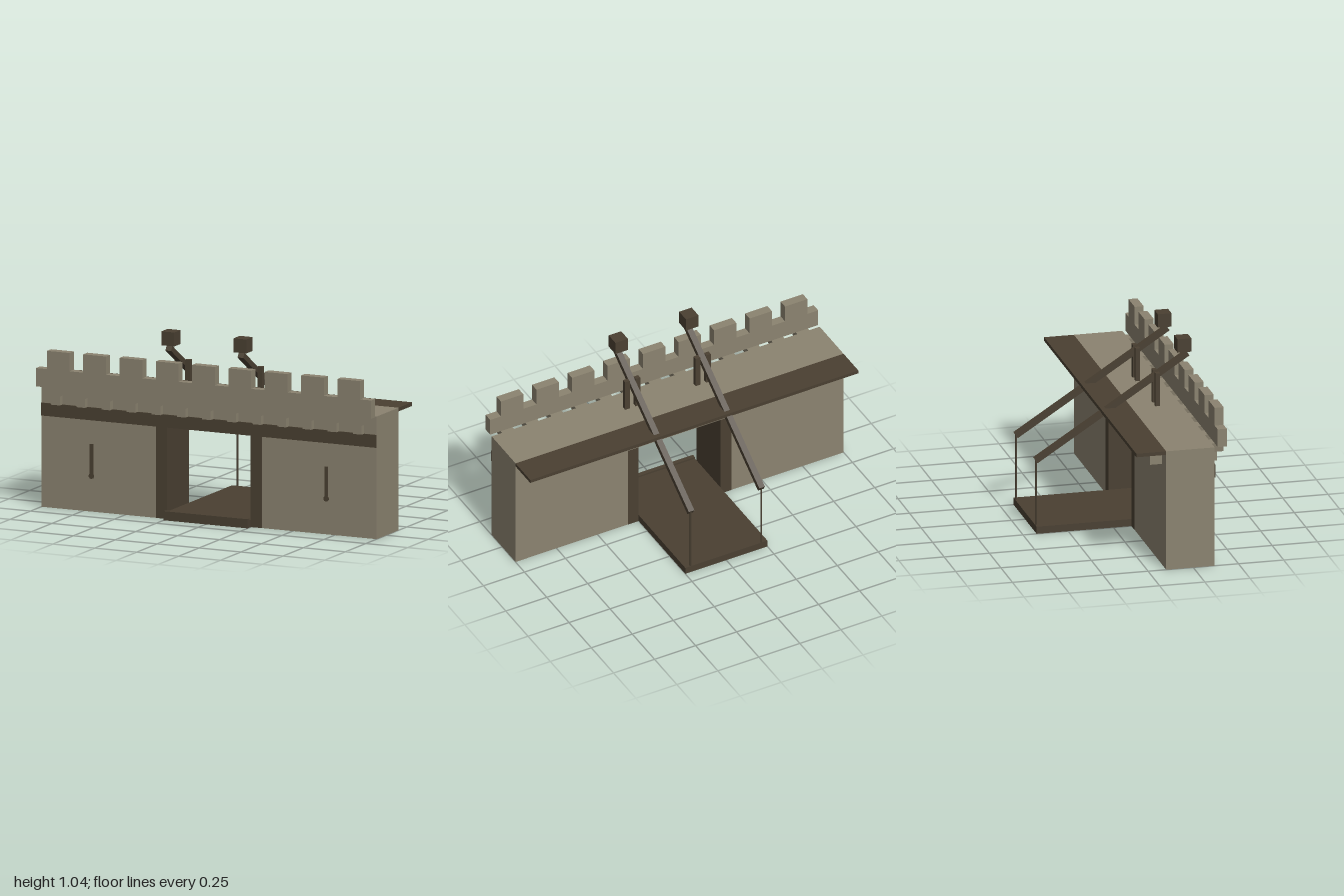
import * as THREE from 'three';

export function createModel() {
  const group = new THREE.Group();
  const stone = new THREE.MeshStandardMaterial({ color: 0x8b8370 });
  stone.name = 'stone';
  const wood = new THREE.MeshStandardMaterial({ color: 0x4a4032 });
  wood.name = 'dark wood';

  const add = (name, geometry, material) => {
    const mesh = new THREE.Mesh(geometry, material);
    mesh.name = name;
    group.add(mesh);
    return mesh;
  };
  // Box given by its minimum and maximum on each axis
  const box = (name, material, x0, x1, y0, y1, z0, z1) => {
    const mesh = add(name, new THREE.BoxGeometry(x1 - x0, y1 - y0, z1 - z0), material);
    mesh.position.set((x0 + x1) / 2, (y0 + y1) / 2, (z0 + z1) / 2);
    return mesh;
  };
  // Outline in x and y, extruded from z0 to z1
  const slab = (name, material, points, z0, z1) => {
    const shape = new THREE.Shape(points.map(([x, y]) => new THREE.Vector2(x, y)));
    const geometry = new THREE.ExtrudeGeometry(shape, { depth: z1 - z0, bevelEnabled: false });
    add(name, geometry.translate(0, 0, z0), material);
  };

  // Wall with gate opening
  slab('wall', stone, [
    [-1, 0], [-0.315, 0], [-0.315, 0.5], [0.315, 0.5],
    [0.315, 0], [1, 0], [1, 0.67], [-1, 0.67],
  ], 0.1, 0.368);
  box('frontBand', wood, -1, 1, 0.5, 0.57, 0.368, 0.374);

  // Crenellated parapet, standing clear of the wall
  const crest = [[-1, 0.67], [1, 0.67], [1, 0.77]];
  for (let i = 4; i >= -4; i--) {
    const x = i * 0.2165;
    crest.push([x + 0.068, 0.77], [x + 0.068, 0.87], [x - 0.068, 0.87], [x - 0.068, 0.77]);
  }
  crest.push([-1, 0.77]);
  slab('parapet', stone, crest, 0.385, 0.435);

  // Stepped corbels carrying the parapet
  for (let i = -6; i <= 6; i++) {
    const x = i * 0.15;
    slab('upperCorbel', stone, [
      [x - 0.03, 0.62], [x + 0.03, 0.62], [x + 0.036, 0.67], [x - 0.036, 0.67],
    ], 0.368, 0.435);
    box('lowerCorbel', stone, x - 0.026, x + 0.026, 0.57, 0.62, 0.368, 0.4);
  }

  // Rear walkway and drawbridge deck
  box('walkway', wood, -1, 1, 0.65, 0.67, -0.065, 0.1);
  box('bridgeDeck', wood, -0.25, 0.25, 0, 0.04, -0.425, 0.39);
  box('bridgeLip', wood, -0.25, 0.25, 0, 0.05, 0.387, 0.41);

  for (const s of [-1, 1]) {
    // Gate jamb
    box('gateJamb', wood, s * 0.2825 - 0.0325, s * 0.2825 + 0.0325, 0, 0.5, 0.099, 0.37);

    // Arrow slit with round foot
    box('arrowSlit', wood, s * 0.7 - 0.01, s * 0.7 + 0.01, 0.2, 0.37, 0.368, 0.373);
    const foot = add('arrowSlitFoot', new THREE.CylinderGeometry(0.016, 0.016, 0.005, 10), wood);
    foot.rotation.x = Math.PI / 2;
    foot.position.set(s * 0.7, 0.195, 0.3705);

    // Brackets under the walkway
    for (const x of [0.375, 0.625, 0.875]) {
      box('walkwayBracket', stone, s * x - 0.037, s * x + 0.037, 0.57, 0.65, 0.033, 0.1);
    }

    // Lifting beam, sloping down to the rear
    const x = s * 0.215;
    const dy = 0.54, dz = 0.84;
    const beam = add('liftingBeam', new THREE.BoxGeometry(0.034, 0.03, Math.hypot(dy, dz)), wood);
    beam.rotation.x = -Math.atan2(dy, dz);
    beam.position.set(x, 0.675, -0.003);

    box('counterweight', wood, x - 0.038, x + 0.038, 0.96, 1.036, 0.354, 0.43);
    for (const o of [-0.032, 0.032]) {
      box('beamPost', wood, x + o - 0.014, x + o + 0.014, 0.67, 0.855, 0.23, 0.255);
    }
    const rope = add('rope', new THREE.CylinderGeometry(0.005, 0.005, 0.37, 8), wood);
    rope.position.set(x, 0.22, -0.42);
  }
  return group;
}
